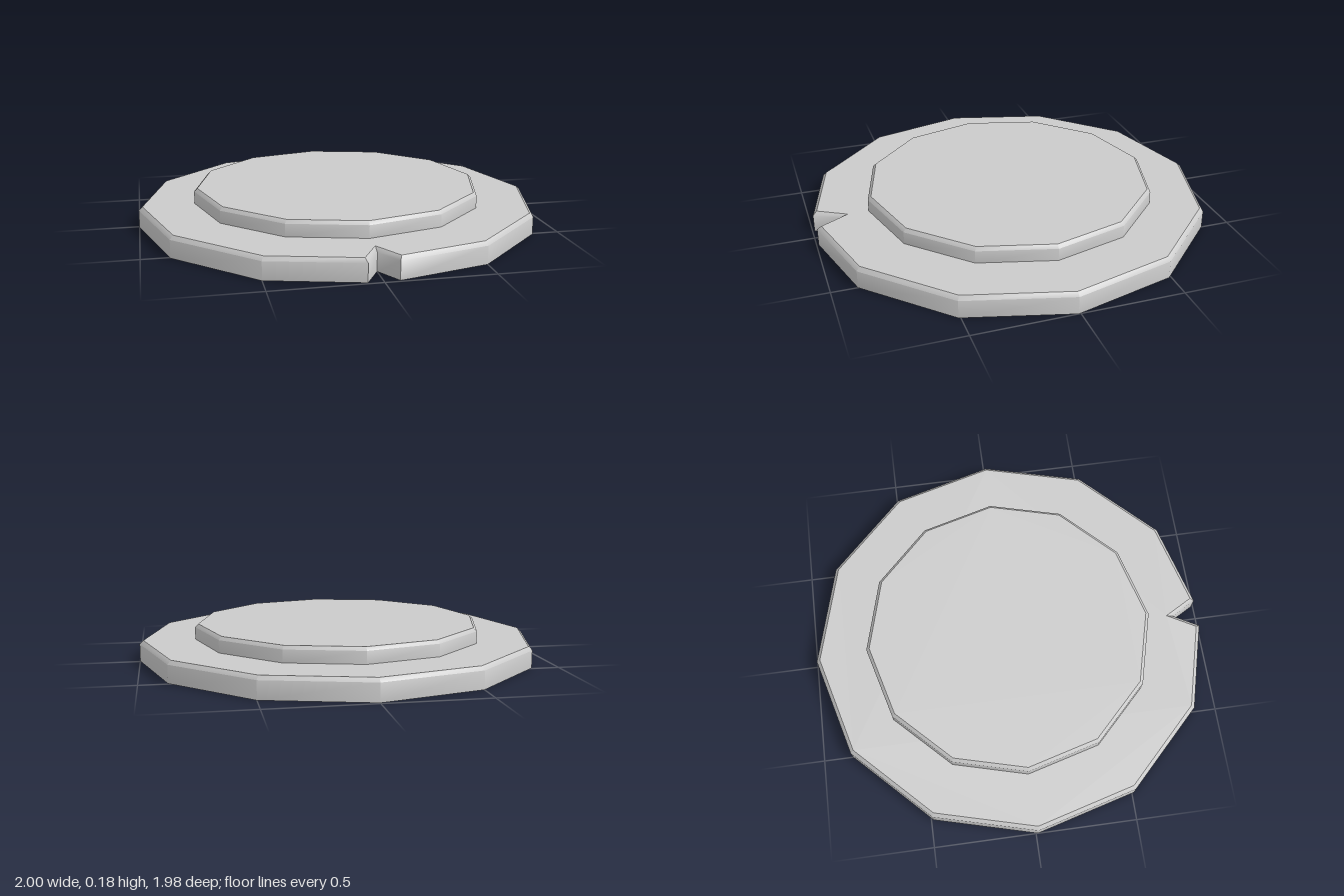
import * as THREE from 'three';
import { mergeGeometries, toCreasedNormals } from 'three/addons/utils/BufferGeometryUtils.js';

// Points of a twelve-sided ring in the (x, z) plane, starting just after the front corner
function ring(radius, centreZ) {
  const points = [];
  for (let i = 1; i <= 12; i++) {
    const a = (i / 12) * Math.PI * 2;
    points.push(new THREE.Vector2(Math.sin(a) * radius, centreZ + Math.cos(a) * radius));
  }
  return points;
}

// Moves every edge of an outline inward by d, with mitred corners
function inset(points, d) {
  const n = points.length;
  const normal = (a, b) => new THREE.Vector2(b.y - a.y, a.x - b.x).normalize();
  return points.map((p, i) => {
    const n1 = normal(points[(i + n - 1) % n], p);
    const n2 = normal(p, points[(i + 1) % n]);
    const m = n1.clone().add(n2);
    return p.clone().addScaledVector(m, d / (1 + n1.dot(n2)));
  });
}

// Flat cap filling an outline at height y
function cap(points, y, up) {
  const shape = new THREE.Shape(points.map((p) => new THREE.Vector2(p.x, -p.y)));
  const geometry = new THREE.ShapeGeometry(shape).rotateX(-Math.PI / 2);
  if (!up) geometry.rotateZ(Math.PI).scale(1, 1, 1);
  return geometry.translate(0, y, 0).toNonIndexed();
}

// Solid slab with a chamfered upper rim
function slab(name, points, y0, y1, bevel, material) {
  const n = points.length;
  const top = inset(points, bevel);
  const loops = [[points, y0], [points, y1 - bevel], [top, y1]];
  const position = [];
  const index = [];
  loops.forEach(([loop, y]) => loop.forEach((p) => position.push(p.x, y, p.y)));
  for (let r = 0; r < 2; r++) {
    for (let i = 0; i < n; i++) {
      const a = r * n + i;
      const b = r * n + ((i + 1) % n);
      index.push(a, b + n, a + n, a, b, b + n);
    }
  }
  const wall = new THREE.BufferGeometry();
  wall.setAttribute('position', new THREE.Float32BufferAttribute(position, 3));
  wall.setIndex(index);
  // The outlines are mirror-symmetric in x, so the turned cap fits the underside
  const parts = [toCreasedNormals(wall, THREE.MathUtils.degToRad(50)), cap(top, y1, true), cap(points, y0, false)];
  parts.forEach((g) => g.deleteAttribute('uv'));
  const mesh = new THREE.Mesh(mergeGeometries(parts), material);
  mesh.name = name;
  return mesh;
}

export function createModel() {
  const model = new THREE.Group();
  model.name = 'notchedDisc';
  const material = new THREE.MeshStandardMaterial({ color: 0xcccccc });

  // Lower disc: the front corner is cut away by a V-shaped notch
  const base = ring(1, 0.01);
  base.pop();
  base.push(new THREE.Vector2(-0.07, 0.99), new THREE.Vector2(0, 0.865), new THREE.Vector2(0.07, 0.99));
  model.add(slab('baseDisc', base, 0, 0.105, 0.018, material));

  // Raised upper disc
  model.add(slab('raisedDisc', ring(0.725, 0), 0.1, 0.182, 0.016, material));
  return model;
}
